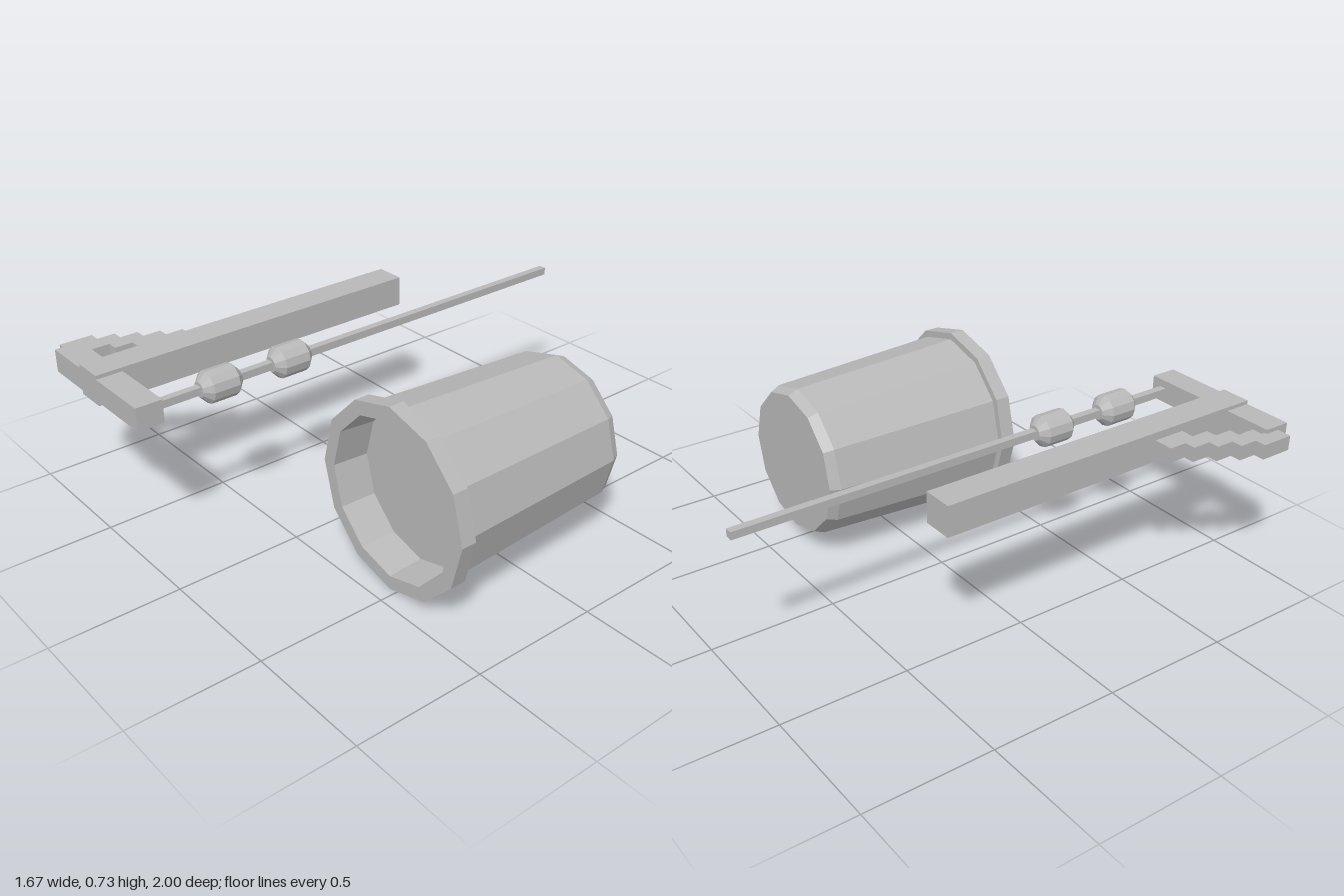
import * as THREE from 'three';

export function createModel() {
  const model = new THREE.Group();
  const grey = new THREE.MeshStandardMaterial({ color: 0xb8b8b8, flatShading: true });
  grey.name = 'plain grey';

  const add = (name, geometry, x = 0, y = 0, z = 0) => {
    const mesh = new THREE.Mesh(geometry, grey);
    mesh.name = name;
    mesh.position.set(x, y, z);
    model.add(mesh);
    return mesh;
  };

  // Box given by its ranges in x and z, centred on a height of 0.6
  const bar = (name, x0, x1, height, z0, z1) =>
    add(name, new THREE.BoxGeometry(x1 - x0, height, z1 - z0), (x0 + x1) / 2, 0.6, (z0 + z1) / 2);

  // Twelve-sided turned part with its axis along z; profile rows are [radius, z]
  const turned = (profile) =>
    new THREE.LatheGeometry(profile.map(([r, z]) => new THREE.Vector2(r, z)), 12).rotateX(Math.PI / 2);

  // Bucket lying on its side, open to the front with a shallow recess
  add('bucket', turned([
    [0, -0.385], [0.285, -0.385], [0.303, -0.345], [0.336, 0.375],
    [0.363, 0.375], [0.363, 0.435], [0.308, 0.435], [0.298, 0.295], [0, 0.295],
  ]), 0.47, 0.366, 0);

  // Long beam, cross bar and thin rod
  bar('beam', -0.58, -0.46, 0.12, -0.385, 1);
  bar('crossBar', -0.775, -0.185, 0.09, 0.895, 1);
  bar('rod', -0.255, -0.225, 0.03, -1, 0.9);

  // Beads threaded on the rod
  for (const z of [0.33, 0.637]) {
    add('bead', turned([
      [0, -0.083], [0.03, -0.083], [0.062, -0.053], [0.062, 0.053], [0.03, 0.083], [0, 0.083],
    ]), -0.24, 0.6, z);
  }

  // Stepped side brace, drawn in x and z as one staircase outline
  const steps = 5, dx = 0.0437, dz = 0.073, length = 0.132, width = 0.065;
  const outline = [[-0.57, 0.53]];
  for (let i = 0; i < steps; i++) {
    const x = -0.658 - i * dx, z = 0.53 + i * dz;
    outline.push([x, z], [x, i < steps - 1 ? z + dz : z + length]);
  }
  for (let i = steps - 1; i >= 0; i--) {
    const x = i ? -0.658 - i * dx + width + 0.004 : -0.57, z = 0.53 + i * dz + length;
    outline.push([x, z]);
    if (i) outline.push([x, z - dz]);
  }
  const shape = new THREE.Shape(outline.map(([x, z]) => new THREE.Vector2(x, -z)));
  const brace = new THREE.ExtrudeGeometry(shape, { depth: 0.058, bevelEnabled: false });
  add('steppedBrace', brace.rotateX(-Math.PI / 2), 0, 0.571, 0);

  return model;
}
